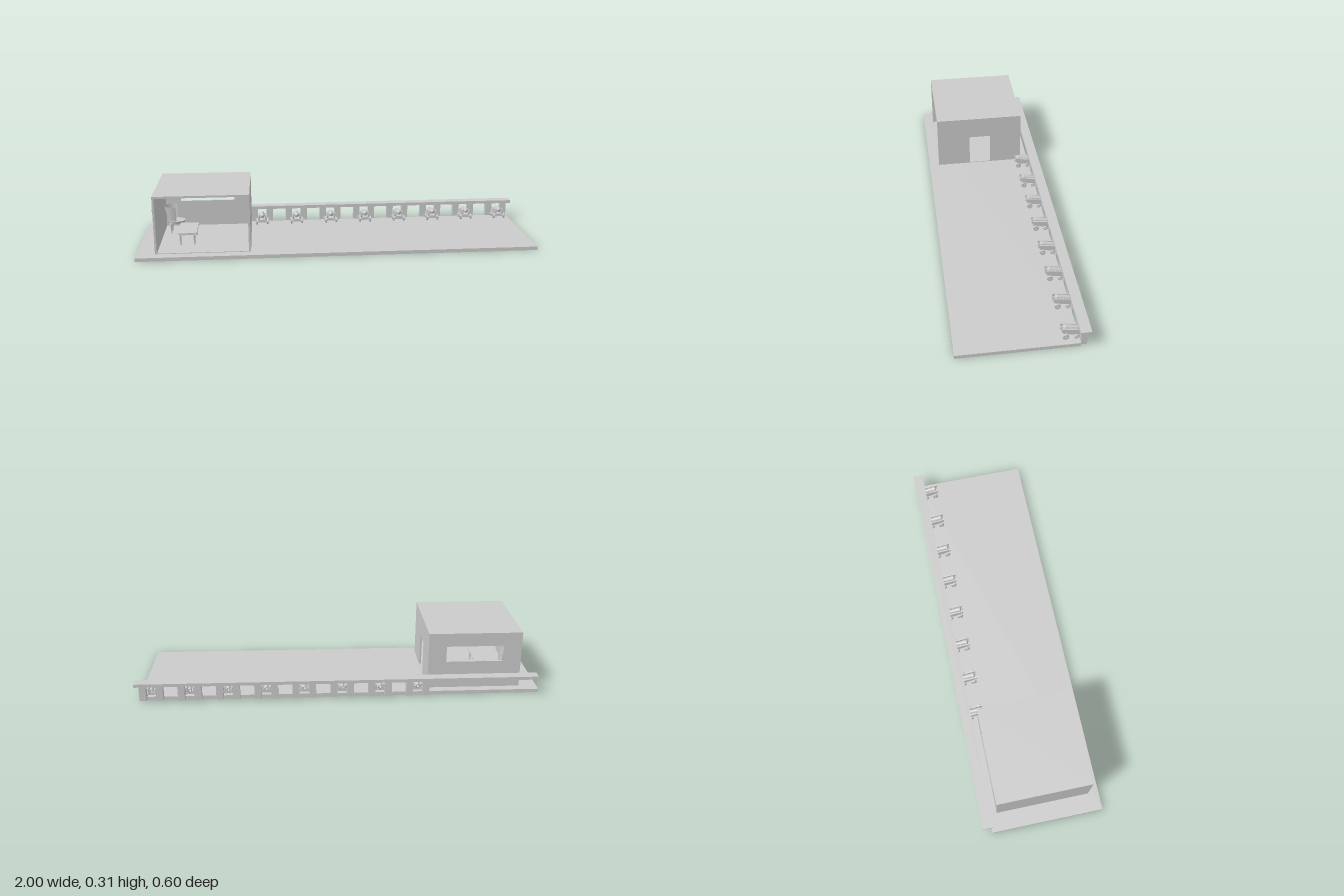
import * as THREE from 'three';

const grey = new THREE.MeshStandardMaterial({ color: 0xcccccc, side: THREE.DoubleSide });

function add(parent, name, geometry, x = 0, y = 0, z = 0) {
  const mesh = new THREE.Mesh(geometry, grey);
  mesh.name = name;
  mesh.position.set(x, y, z);
  parent.add(mesh);
  return mesh;
}

// Box given by its limits on each axis
function block(parent, name, [x0, x1], [y0, y1], [z0, z1]) {
  return add(parent, name, new THREE.BoxGeometry(x1 - x0, y1 - y0, z1 - z0),
    (x0 + x1) / 2, (y0 + y1) / 2, (z0 + z1) / 2);
}

function rectangle(Kind, u0, u1, v0, v1) {
  const p = new Kind();
  p.moveTo(u0, v0).lineTo(u1, v0).lineTo(u1, v1).lineTo(u0, v1).closePath();
  return p;
}

// Flat panel extruded by depth; sideways panels are drawn in z and y
function panel(parent, name, shape, depth, sideways, x = 0, z = 0) {
  const geo = new THREE.ExtrudeGeometry(shape, { depth, bevelEnabled: false });
  if (sideways) geo.rotateY(-Math.PI / 2);
  return add(parent, name, geo, x, 0, z);
}

// Turned leg with a foot, a slim shaft and a bulge near the top
function turnedLeg(parent, name, height, x, y, z) {
  const profile = [[0, 0], [0.004, 0], [0.005, 0.06], [0.003, 0.14], [0.0035, 0.3],
    [0.006, 0.65], [0.004, 0.78], [0.007, 0.84], [0.007, 1], [0, 1]];
  const pts = profile.map(([r, h]) => new THREE.Vector2(r, h * height));
  add(parent, name, new THREE.LatheGeometry(pts, 12), x, y, z);
}

function createHut() {
  const hut = new THREE.Group();
  hut.name = 'hut';
  const X = [-0.91, -0.445], Z = [-0.218, 0.247], t = 0.01;
  block(hut, 'hutFloor', X, [0.017, 0.021], Z);
  block(hut, 'roof', X, [0.297, 0.307], Z);
  block(hut, 'leftWall', [X[0], X[0] + t], [0.018, 0.298], Z);

  // Back wall with a wide window
  const back = rectangle(THREE.Shape, X[0], X[1], 0.018, 0.298);
  back.holes.push(rectangle(THREE.Path, -0.82, -0.535, 0.157, 0.24));
  panel(hut, 'backWall', back, t, false, 0, Z[0]);

  // Side wall with a doorway
  const side = rectangle(THREE.Shape, Z[0], Z[1], 0.018, 0.298);
  side.holes.push(rectangle(THREE.Path, -0.046, 0.07, 0.021, 0.19));
  panel(hut, 'doorWall', side, t, true, X[1]);
  return hut;
}

function createTable() {
  const table = new THREE.Group();
  table.name = 'table';
  block(table, 'tableTop', [-0.81, -0.715], [0.079, 0.085], [-0.046, 0.135]);
  block(table, 'tableApron', [-0.803, -0.722], [0.073, 0.079], [-0.038, 0.127]);
  for (const x of [-0.797, -0.728])
    for (const z of [-0.032, 0.121]) turnedLeg(table, 'tableLeg', 0.055, x, 0.02, z);
  return table;
}

function createChair() {
  const chair = new THREE.Group();
  chair.name = 'chair';
  const seat = add(chair, 'seat', new THREE.CylinderGeometry(0.044, 0.04, 0.014, 24), 0, 0.079, 0);
  seat.scale.z = 0.95;
  for (const x of [-0.028, 0.028])
    for (const z of [-0.027, 0.027]) turnedLeg(chair, 'chairLeg', 0.054, x, 0.02, z);
  // Flared shell wrapping the rear of the seat
  const shell = new THREE.CylinderGeometry(0.062, 0.042, 0.08, 20, 1, true, Math.PI, Math.PI);
  const back = add(chair, 'chairBack', shell, 0, 0.123, 0);
  back.scale.z = 0.75;
  chair.position.set(-0.834, 0, -0.102);
  return chair;
}

function createCannon(x) {
  const cannon = new THREE.Group();
  cannon.name = 'cannon';
  // Two carriage cheeks joined by a bed
  const cheek = new THREE.Shape([[-0.18, 0.056], [-0.18, 0.073], [-0.262, 0.062],
    [-0.262, 0.032], [-0.215, 0.04]].map(([z, y]) => new THREE.Vector2(z, y)));
  for (const s of [-1, 1]) {
    panel(cannon, 'carriageCheek', cheek, 0.007, true, s * 0.018 + 0.0035);
    // Large wheel inboard, small wheel by the rail
    for (const [z, r] of [[-0.198, 0.0145], [-0.247, 0.0105]]) {
      const wheel = new THREE.CylinderGeometry(r, r, 0.008, 20).rotateZ(Math.PI / 2);
      add(cannon, 'wheel', wheel, s * 0.028, 0.0185 + r, z);
      const hub = new THREE.CylinderGeometry(0.004, 0.004, 0.006, 10).rotateZ(Math.PI / 2);
      add(cannon, 'hub', hub, s * 0.034, 0.0185 + r, z);
    }
  }
  for (const [z, y] of [[-0.198, 0.033], [-0.247, 0.029]])
    block(cannon, 'axle', [-0.032, 0.032], [y - 0.004, y + 0.006], [z - 0.005, z + 0.005]);
  block(cannon, 'carriageBed', [-0.016, 0.016], [0.04, 0.046], [-0.26, -0.188]);

  // Barrel with breech knob, sloping down toward the rail
  const profile = [[0, 0], [0.004, 0.001], [0.0045, 0.004], [0.003, 0.007], [0.011, 0.009],
    [0.0135, 0.012], [0.0135, 0.018], [0.012, 0.02], [0.009, 0.085], [0.011, 0.09],
    [0.011, 0.096], [0.006, 0.096], [0.006, 0.07], [0, 0.07]];
  const barrel = new THREE.LatheGeometry(profile.map((p) => new THREE.Vector2(...p)), 20);
  add(cannon, 'barrel', barrel.rotateX(-Math.PI / 2 - 0.15), 0, 0.07, -0.181);
  const trunnion = new THREE.CylinderGeometry(0.003, 0.003, 0.042, 10).rotateZ(Math.PI / 2);
  add(cannon, 'trunnion', trunnion, 0, 0.064, -0.228);
  cannon.position.x = x;
  return cannon;
}

export function createModel() {
  const model = new THREE.Group();
  model.name = 'gunDeck';
  block(model, 'deck', [-1, 0.98], [0, 0.018], [-0.26, 0.3]);
  block(model, 'rail', [-0.985, 1], [0.088, 0.104], [-0.3, -0.25]);
  model.add(createHut(), createTable(), createChair());

  // Gun stations, each with a post on either side
  for (let i = 0; i < 8; i++) {
    const x = -0.388 + i * 0.187;
    model.add(createCannon(x));
    for (const s of [-1, 1]) {
      const px = x + s * 0.041;
      block(model, 'railPost', [px - 0.017, px + 0.017], [0.009, 0.089], [-0.287, -0.26]);
    }
  }
  return model;
}
